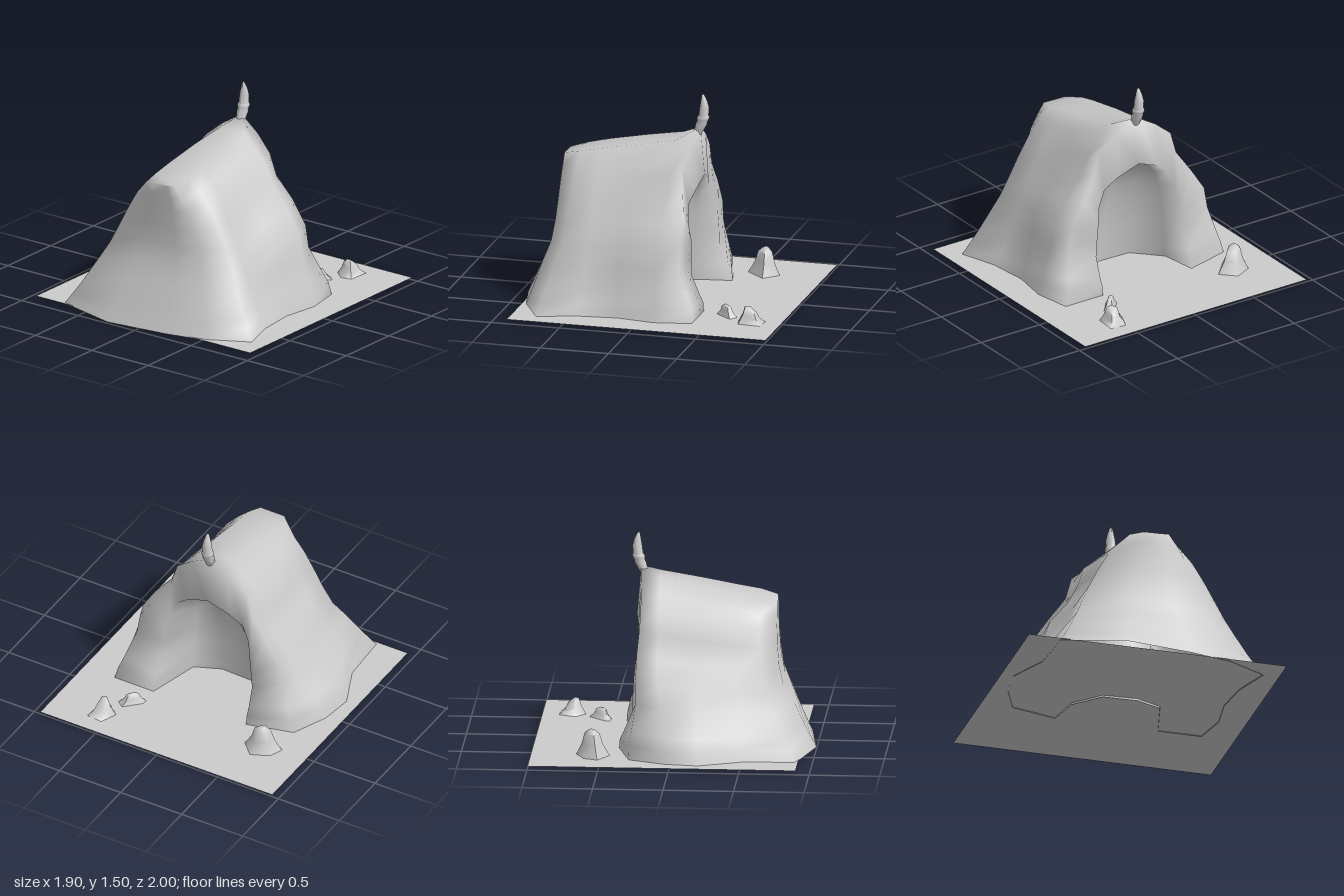
import * as THREE from 'three';
import { mergeVertices, toCreasedNormals } from 'three/addons/utils/BufferGeometryUtils.js';

const material = new THREE.MeshStandardMaterial({ color: 0xcccccc, side: THREE.DoubleSide });

function addMesh(group, name, geometry) {
  const mesh = new THREE.Mesh(geometry, material);
  mesh.name = name;
  group.add(mesh);
  return mesh;
}

// Height levels, and how far each kind of column has moved from its foot to its top
const LEVELS = [0, 0.08, 0.15, 0.3, 0.43, 0.57, 0.7, 0.83, 0.92, 1];
const LEFT = [0, 0.04, 0.1, 0.3, 0.37, 0.54, 0.64, 0.7, 0.86, 1];
const RIGHT = [0, 0.04, 0.08, 0.17, 0.21, 0.38, 0.59, 0.71, 0.86, 1];
const CORNER = [0, 0.08, 0.15, 0.28, 0.38, 0.49, 0.6, 0.73, 0.86, 1];
const FRONT = [0, 0.15, 0.28, 0.55, 0.83, 0.94, 0.98, 1, 1, 1];
const LEG_X = [0, 0.04, 0.08, 0.16, 0.2, 0.36, 0.52, 0.58, 0.77, 1];
const LEG_Z = [0, 0.05, 0.35, 0.95, 0.95, 1, 1.3, 1.45, 1.2, 1];
const ARCH = [0, 0, 0, 0.02, 0.04, 0.08, 0.15, 0.3, 0.55, 1];
const DOME = [0, 0.02, 0.04, 0.08, 0.13, 0.2, 0.29, 0.43, 0.63, 1];

// Mound with a hollow at the back: a closed ring of columns, outer slope then cave wall
function moundGeometry() {
  const outer = [
    // foot x, foot z, top x, top y, top z, profile
    [-0.72, -0.3, 0, 1.26, -0.26, LEG_X],
    [-0.83, -0.04, -0.08, 1.19, -0.12, LEFT],
    [-0.86, 0.2, -0.1, 1.14, 0.15, LEFT],
    [-0.73, 0.5, -0.11, 1.08, 0.45, LEFT],
    [-0.71, 0.88, -0.12, 1.04, 0.6, CORNER],
    [-0.24, 1.0, -0.05, 1.02, 0.71, CORNER],
    [0.24, 0.94, 0.07, 1.02, 0.71, CORNER],
    [0.55, 0.87, 0.14, 1.03, 0.7, CORNER],
    [0.83, 0.72, 0.17, 1.06, 0.58, CORNER],
    [0.74, 0.44, 0.16, 1.09, 0.42, CORNER],
    [0.71, 0.15, 0.16, 1.14, 0.15, RIGHT],
    [0.75, -0.12, 0.14, 1.19, -0.12, RIGHT],
    [0.7, -0.39, 0, 1.26, -0.26, LEG_X],
  ];
  const n = outer.length;
  const columns = outer.map((p) => ({ p, y0: 0.012, fx: p[5], fz: p[5] === LEG_X ? LEG_Z : FRONT }));
  const inner = [[0.38, -0.39], [0.28, 0], [0.09, 0.08], [-0.16, 0.07], [-0.34, -0.12], [-0.38, -0.39]];
  inner.forEach(([x, z], i) => {
    const mouth = i === 0 || i === inner.length - 1;
    columns.push({
      p: [x, z, 0, 0.91, -0.29],
      y0: mouth ? 0.012 : 0.002,
      fx: mouth ? ARCH : DOME,
      fz: mouth ? LEG_Z : DOME,
    });
  });

  const positions = [];
  const index = [];
  const rows = LEVELS.length;
  const count = columns.length;
  const { lerp } = THREE.MathUtils;
  columns.forEach(({ p, y0, fx, fz }, c) => {
    const next = (c + 1) % count;
    for (let k = 0; k < rows; k++) {
      positions.push(lerp(p[0], p[2], fx[k]), lerp(y0, p[3], LEVELS[k]), lerp(p[1], p[4], fz[k]));
      if (k === rows - 1) continue;
      const a = c * rows + k;
      const b = next * rows + k;
      index.push(a, b, b + 1, a, b + 1, a + 1);
    }
  });

  // Sloping crest between the left and right column tops
  const top = (i) => i * rows + rows - 1;
  for (let i = 0; i < (n - 1) / 2; i++) {
    const j = n - 1 - i;
    index.push(top(i), top(i + 1), top(j - 1), top(i), top(j - 1), top(j));
  }
  const geometry = new THREE.BufferGeometry();
  geometry.setAttribute('position', new THREE.Float32BufferAttribute(positions, 3));
  geometry.setIndex(index);
  const smooth = mergeVertices(geometry);
  smooth.computeVertexNormals();
  return smooth;
}

// Rock: its footprint drawn in towards a peak, with an optional slope along z
function rockGeometry(foot, peak, height, slope = 0) {
  const rings = [[0, 1], [0.45, 0.62], [0.85, 0.45], [1, 0.18]];
  const positions = [];
  const index = [];
  const n = foot.length;
  rings.forEach(([h, s], r) => foot.forEach(([x, z], i) => {
    const dz = (z - peak[1]) * s;
    positions.push(peak[0] + (x - peak[0]) * s, 0.02 + h * (height + slope * dz), peak[1] + dz);
    if (r === rings.length - 1) return;
    const a = r * n + i;
    const b = r * n + (i + 1) % n;
    index.push(a, b, b + n, a, b + n, a + n);
  }));
  const last = (rings.length - 1) * n;
  for (let i = 1; i < n - 1; i++) {
    index.push(last, last + i, last + i + 1);
    index.push(0, i + 1, i);
  }
  const geometry = new THREE.BufferGeometry();
  geometry.setAttribute('position', new THREE.Float32BufferAttribute(positions, 3));
  geometry.setIndex(index);
  return toCreasedNormals(geometry, 1.2);
}

// Horn: a turned profile bent backwards
function hornGeometry() {
  const profile = [
    [0.034, 1.2], [0.037, 1.25], [0.042, 1.28], [0.038, 1.3], [0.045, 1.32],
    [0.044, 1.335], [0.036, 1.345], [0.035, 1.4], [0.024, 1.45], [0.011, 1.49], [0, 1.505],
  ].map(([r, y]) => new THREE.Vector2(r, y));
  const geometry = new THREE.LatheGeometry(profile, 12);
  const pos = geometry.attributes.position;
  for (let i = 0; i < pos.count; i++) {
    const t = (pos.getY(i) - 1.2) / 0.305;
    pos.setZ(i, pos.getZ(i) - 0.23 - 0.17 * t + 0.125 * t * t);
  }
  geometry.computeVertexNormals();
  return geometry;
}

export function createModel() {
  const model = new THREE.Group();
  model.name = 'caveMound';

  const ground = addMesh(model, 'ground', new THREE.PlaneGeometry(1.9, 1.9));
  ground.rotation.x = -Math.PI / 2;
  ground.position.set(0, 0.018, -0.05);

  addMesh(model, 'mound', moundGeometry());
  addMesh(model, 'horn', hornGeometry());

  // Loose rocks in front of the cave mouth, corners running left, front, right, back
  addMesh(model, 'largeRock', rockGeometry(
    [[-0.75, -0.52], [-0.61, -0.44], [-0.48, -0.58], [-0.58, -0.68], [-0.71, -0.62]], [-0.62, -0.57], 0.19));
  addMesh(model, 'mediumRock', rockGeometry(
    [[0.47, -0.76], [0.55, -0.69], [0.63, -0.71], [0.64, -0.87], [0.52, -0.88]], [0.56, -0.78], 0.11, 0.6));
  addMesh(model, 'smallRock', rockGeometry(
    [[0.37, -0.51], [0.43, -0.5], [0.53, -0.62], [0.48, -0.66], [0.37, -0.55]], [0.44, -0.57], 0.08));
  return model;
}
